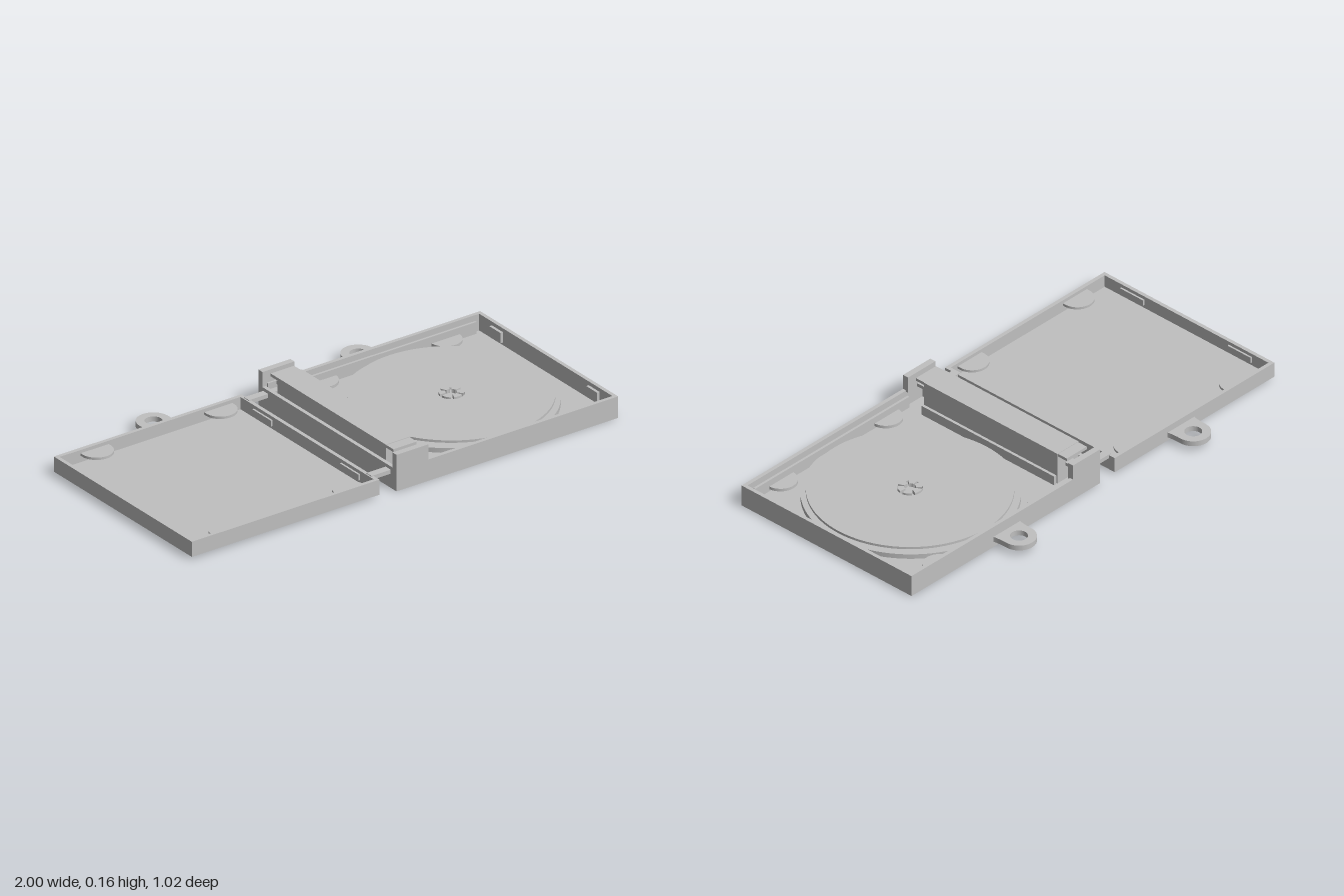
import * as THREE from 'three';

const plastic = new THREE.MeshStandardMaterial({ color: 0xc0c0c0 });
plastic.name = 'light grey plastic';

// outer limits of both shells along z
const BACK = -0.376, FRONT = 0.508, MID = (BACK + FRONT) / 2;

function add(parent, name, geometry) {
  const mesh = new THREE.Mesh(geometry, plastic);
  mesh.name = name;
  parent.add(mesh);
  return mesh;
}

// box given by its limits on each axis
function box(parent, name, x0, x1, y0, y1, z0, z1) {
  const mesh = add(parent, name, new THREE.BoxGeometry(x1 - x0, y1 - y0, z1 - z0));
  mesh.position.set((x0 + x1) / 2, (y0 + y1) / 2, (z0 + z1) / 2);
  return mesh;
}

// outline drawn in (x, -z), extruded upwards from y0 to y1
function slab(parent, name, shape, y0, y1) {
  const g = new THREE.ExtrudeGeometry(shape, { depth: y1 - y0, bevelEnabled: false, curveSegments: 48 });
  g.rotateX(-Math.PI / 2);
  const mesh = add(parent, name, g);
  mesh.position.y = y0;
  return mesh;
}

// upright rectangular frame with a floor
function shell(parent, x0, x1, y0, y1, floorTop, t) {
  const shape = new THREE.Shape();
  shape.moveTo(x0, -FRONT).lineTo(x1, -FRONT).lineTo(x1, -BACK).lineTo(x0, -BACK).closePath();
  const hole = new THREE.Path();
  hole.moveTo(x0 + t, -FRONT + t).lineTo(x0 + t, -BACK - t).lineTo(x1 - t, -BACK - t).lineTo(x1 - t, -FRONT + t).closePath();
  shape.holes.push(hole);
  slab(parent, 'walls', shape, y0, y1);
  box(parent, 'floor', x0 + t, x1 - t, y0, floorTop, BACK + t, FRONT - t);
}

// half-round retaining tabs along the front and back walls
function halfTabs(parent, xs, y0, y1, t) {
  for (const x of xs) for (const side of [1, -1]) {
    const s = new THREE.Shape();
    s.absarc(0, 0, 0.066, 0, Math.PI, false);
    s.closePath();
    const m = slab(parent, 'retainingTab', s, y0, y1);
    m.position.x = x;
    m.position.z = side > 0 ? FRONT - t - 0.012 : BACK + t + 0.012;
    if (side < 0) m.rotation.y = Math.PI;
    box(parent, 'tabRoot', x - 0.066, x + 0.066, y0, y1,
      side > 0 ? FRONT - t - 0.012 : BACK + t, side > 0 ? FRONT - t : BACK + t + 0.012);
  }
}

// hanging eyelet on the back wall, with a flared root
function eyelet(parent, x) {
  const s = new THREE.Shape();
  s.moveTo(-0.076, -0.07);
  s.quadraticCurveTo(-0.068, -0.055, -0.068, 0);
  s.absarc(0, 0, 0.068, Math.PI, 0, true);
  s.quadraticCurveTo(0.068, -0.055, 0.076, -0.07);
  s.closePath();
  const hole = new THREE.Path();
  hole.absarc(0, 0, 0.034, 0, Math.PI * 2, false);
  s.holes.push(hole);
  slab(parent, 'eyelet', s, 0.024, 0.046).position.set(x, 0.024, -0.44);
}

function buildLid() {
  const lid = new THREE.Group();
  lid.name = 'lid';
  shell(lid, -1, -0.12, 0.01, 0.074, 0.022, 0.016);
  halfTabs(lid, [-0.82, -0.24], 0.05, 0.06, 0.016);
  eyelet(lid, -0.485);
  // small catches on the side walls
  for (const z of [MID - 0.28, MID + 0.28]) {
    box(lid, 'catch', -0.984, -0.976, 0.035, 0.06, z - 0.06, z + 0.06);
    box(lid, 'catch', -0.144, -0.136, 0.035, 0.06, z - 0.06, z + 0.06);
  }
  // hinge arms reaching into the base
  for (const z of [-0.33, 0.455])
    box(lid, 'hingeArm', -0.13, 0.02, 0.06, 0.077, z - 0.016, z + 0.016);
  return lid;
}

function buildSpine(base) {
  const spine = new THREE.Group();
  spine.name = 'spine';
  base.add(spine);
  box(spine, 'spineBlock', -0.022, 0.094, 0.02, 0.155, -0.28, 0.415);
  box(spine, 'spineTopPlate', -0.02, 0.09, 0.141, 0.153, -0.325, 0.46);
  // raised end walls with short returns, and the hinge shelves beside them
  for (const side of [1, -1]) {
    const outer = side > 0 ? FRONT : BACK;
    const span = (a, b) => [Math.min(outer - side * a, outer - side * b), Math.max(outer - side * a, outer - side * b)];
    box(spine, 'endWall', -0.04, 0.11, 0.085, 0.155, ...span(0, 0.026));
    box(spine, 'hingeShelf', -0.02, 0.02, 0.02, 0.104, ...span(0.016, 0.034));
    box(spine, 'hingeLedge', 0.02, 0.06, 0.09, 0.104, ...span(0.026, 0.086));
  }
  box(spine, 'spineFootRidge', 0.1, 0.112, 0.02, 0.06, -0.28, 0.41);
}

function buildDisc(base) {
  const cx = 0.542, cz = 0.064;
  const disc = new THREE.Group();
  disc.name = 'discAndHub';
  disc.position.set(cx, 0, cz);
  base.add(disc);

  // round tray step below the disc
  const tray = add(disc, 'trayStep', new THREE.CylinderGeometry(0.418, 0.418, 0.02, 96));
  tray.position.set(-0.004, 0.03, 0);

  // disc with its centre hole
  const s = new THREE.Shape();
  s.absarc(0, 0, 0.395, 0, Math.PI * 2, false);
  const hole = new THREE.Path();
  hole.absarc(0, 0, 0.05, 0, Math.PI * 2, false);
  s.holes.push(hole);
  slab(disc, 'disc', s, 0.05, 0.06);
  const support = add(disc, 'discSupport', new THREE.CylinderGeometry(0.1, 0.1, 0.012, 48));
  support.position.y = 0.045;

  // hub made of separate springy teeth
  const teeth = 6, gap = 0.13;
  for (let i = 0; i < teeth; i++) {
    const a0 = i * Math.PI * 2 / teeth + gap, a1 = (i + 1) * Math.PI * 2 / teeth - gap;
    const t = new THREE.Shape();
    t.absarc(0, 0, 0.048, a0, a1, false);
    t.absarc(0, 0, 0.022, a1, a0, true);
    t.closePath();
    slab(disc, 'hubTooth', t, 0.045, 0.067);
  }
}

function buildBase() {
  const base = new THREE.Group();
  base.name = 'base';
  shell(base, -0.04, 1, 0, 0.091, 0.02, 0.016);
  halfTabs(base, [0.235, 0.815], 0.03, 0.042, 0.016);
  eyelet(base, 0.475);
  // inner rails along the front and back
  box(base, 'backRail', 0.11, 0.96, 0.02, 0.07, -0.354, -0.344);
  box(base, 'frontRail', 0.11, 0.96, 0.02, 0.07, 0.476, 0.486);
  // catches on the far side wall
  for (const z of [MID - 0.31, MID + 0.31])
    box(base, 'catch', 0.972, 0.986, 0.03, 0.075, z - 0.035, z + 0.035);
  buildSpine(base);
  buildDisc(base);
  return base;
}

export function createModel() {
  const model = new THREE.Group();
  model.name = 'openDiscCase';
  model.add(buildLid(), buildBase());
  return model;
}
